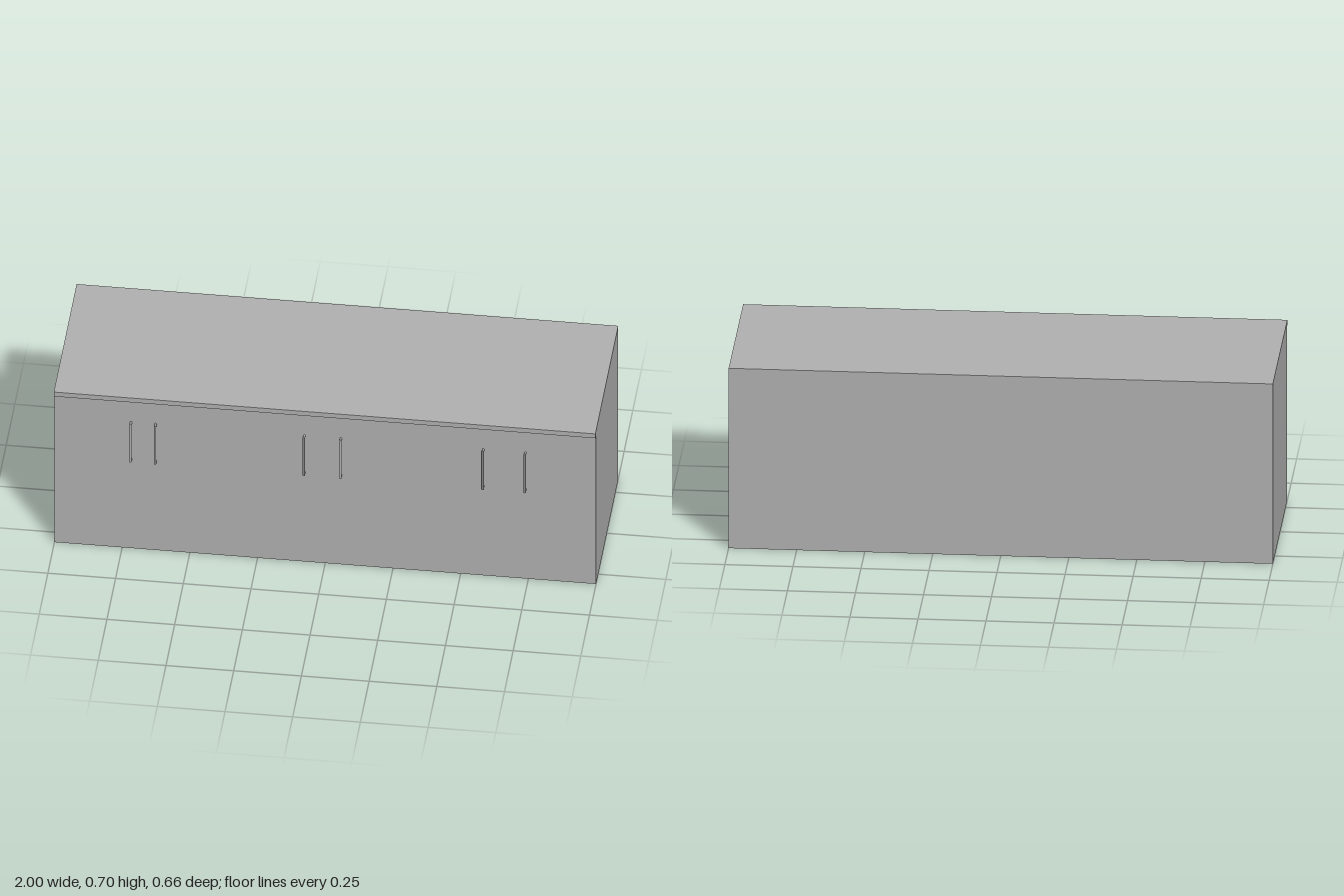
import * as THREE from 'three';

const HEIGHT = 0.705, BACK = -0.33, FACE = 0.31, LIP = 0.33;

export function createModel() {
  const group = new THREE.Group();
  const grey = new THREE.MeshStandardMaterial({ color: 0xb2b2b2, side: THREE.DoubleSide });
  grey.name = 'grey';

  const add = (name, geometry, x, y, z, parent = group) => {
    const mesh = new THREE.Mesh(geometry, grey);
    mesh.name = name;
    mesh.position.set(x, y, z);
    parent.add(mesh);
    return mesh;
  };

  // Thin-walled cabinet, open underneath
  const depth = FACE - BACK, midZ = (FACE + BACK) / 2;
  add('frontPanel', new THREE.PlaneGeometry(2, HEIGHT), 0, HEIGHT / 2, FACE);
  add('backPanel', new THREE.PlaneGeometry(2, HEIGHT).rotateY(Math.PI), 0, HEIGHT / 2, BACK);
  add('topPanel', new THREE.PlaneGeometry(2, depth).rotateX(-Math.PI / 2), 0, HEIGHT, midZ);
  for (const side of [-1, 1]) {
    add(side > 0 ? 'leftPanel' : 'rightPanel',
      new THREE.PlaneGeometry(depth, HEIGHT).rotateY(side * Math.PI / 2), side, HEIGHT / 2, midZ);
  }

  // Overhanging front edge of the worktop
  add('worktopLip', new THREE.BoxGeometry(2, 0.02, LIP - FACE), 0, HEIGHT - 0.01, (FACE + LIP) / 2);

  // Pull handles: slim upright bar on two round posts
  const low = 0.411, high = 0.579, barZ = LIP - 0.003;
  const bar = new THREE.CylinderGeometry(0.004, 0.004, high - low + 0.008, 12).scale(1, 1, 0.75);
  const post = new THREE.CylinderGeometry(0.004, 0.004, barZ - FACE + 0.001, 12).rotateX(Math.PI / 2);
  for (const x of [-0.717, -0.626, -0.077, 0.058, 0.584, 0.739]) {
    const handle = new THREE.Group();
    handle.name = 'handle';
    handle.position.x = x;
    add('handleBar', bar, 0, (low + high) / 2, barZ, handle);
    for (const y of [low, high]) add('handlePost', post, 0, y, (FACE + barZ - 0.001) / 2, handle);
    group.add(handle);
  }
  return group;
}
